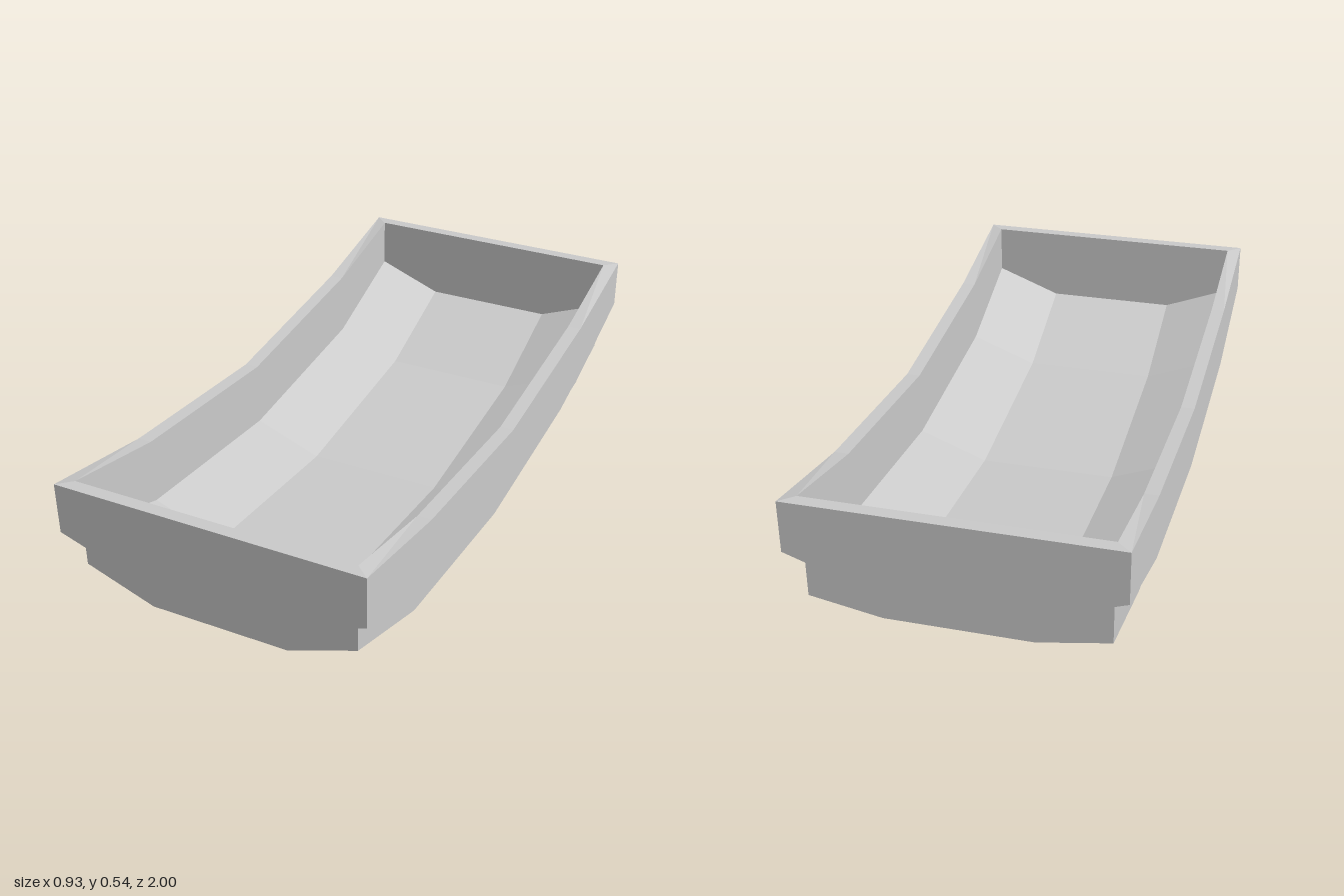
import * as THREE from 'three';

const material = new THREE.MeshStandardMaterial({ color: 0xcccccc, flatShading: true });
const NX = 4, NZ = 5;

// Grid of points [i][j] spanning +-hx, +-hz; height(edge, z) gets the edge flag and row
function grid(hx, hz, height) {
  const xs = [-hx, -hx / 2, hx / 2, hx];
  const zs = [-hz, -0.61, 0, 0.61, hz];
  return xs.map((x, i) => zs.map((z, j) => [x, height(i === 0 || i === NX - 1, j), z]));
}

// Perimeter of a grid, counter-clockwise seen from above, starting front right-hand corner
function perimeter(g) {
  const loop = [];
  for (let i = 0; i < NX - 1; i++) loop.push(g[i][NZ - 1]);
  for (let j = NZ - 1; j > 0; j--) loop.push(g[NX - 1][j]);
  for (let i = NX - 1; i > 0; i--) loop.push(g[i][0]);
  for (let j = 0; j < NZ - 1; j++) loop.push(g[0][j]);
  return loop;
}

// Quads joining successive loops
function band(...grids) {
  const quads = [];
  const loops = grids.map(perimeter);
  for (let l = 0; l < loops.length - 1; l++) {
    const a = loops[l], b = loops[l + 1];
    a.forEach((p, k) => {
      const n = (k + 1) % a.length;
      quads.push([p, a[n], b[n], b[k]]);
    });
  }
  return quads;
}

// Quads filling a grid, facing up or down
function sheet(g, up) {
  const quads = [];
  for (let i = 0; i < NX - 1; i++) {
    for (let j = 0; j < NZ - 1; j++) {
      const q = [g[i][j + 1], g[i + 1][j + 1], g[i + 1][j], g[i][j]];
      quads.push(up ? q : q.reverse());
    }
  }
  return quads;
}

function part(name, quads) {
  const positions = quads.flatMap(([a, b, c, d]) => [a, b, c, a, c, d]).flat();
  const geometry = new THREE.BufferGeometry();
  geometry.setAttribute('position', new THREE.Float32BufferAttribute(positions, 3));
  geometry.computeVertexNormals();
  const mesh = new THREE.Mesh(geometry, material);
  mesh.name = name;
  return mesh;
}

export function createModel() {
  const group = new THREE.Group();
  group.name = 'curvedTray';

  // Height profiles along the length, back to front
  const keel = [0.18, 0.057, 0, 0.057, 0.18];
  const chine = [0.218, 0.135, 0.08, 0.135, 0.258];
  const lip = [0.535, 0.46, 0.402, 0.46, 0.535];

  const bottomY = (edge, j) => (edge ? chine[j] : keel[j]);
  const floorY = (edge, j) => keel[j] + 0.116 + (edge ? 0.082 : 0);
  const lipY = (edge, j) => lip[j];

  const bottom = grid(0.421, 0.96, bottomY);
  const neck = grid(0.421, 0.96, floorY);
  const rimBottom = grid(0.467, 1, floorY);
  const rimTop = grid(0.467, 1, lipY);
  const innerTop = grid(0.425, 0.962, lipY);
  const floor = grid(0.425, 0.962, floorY);

  group.add(part('rim', band(neck, rimBottom, rimTop, innerTop, floor)));
  group.add(part('floor', sheet(floor, true)));
  group.add(part('baseWalls', band(bottom, neck)));
  group.add(part('baseUnderside', sheet(bottom, false)));
  return group;
}
